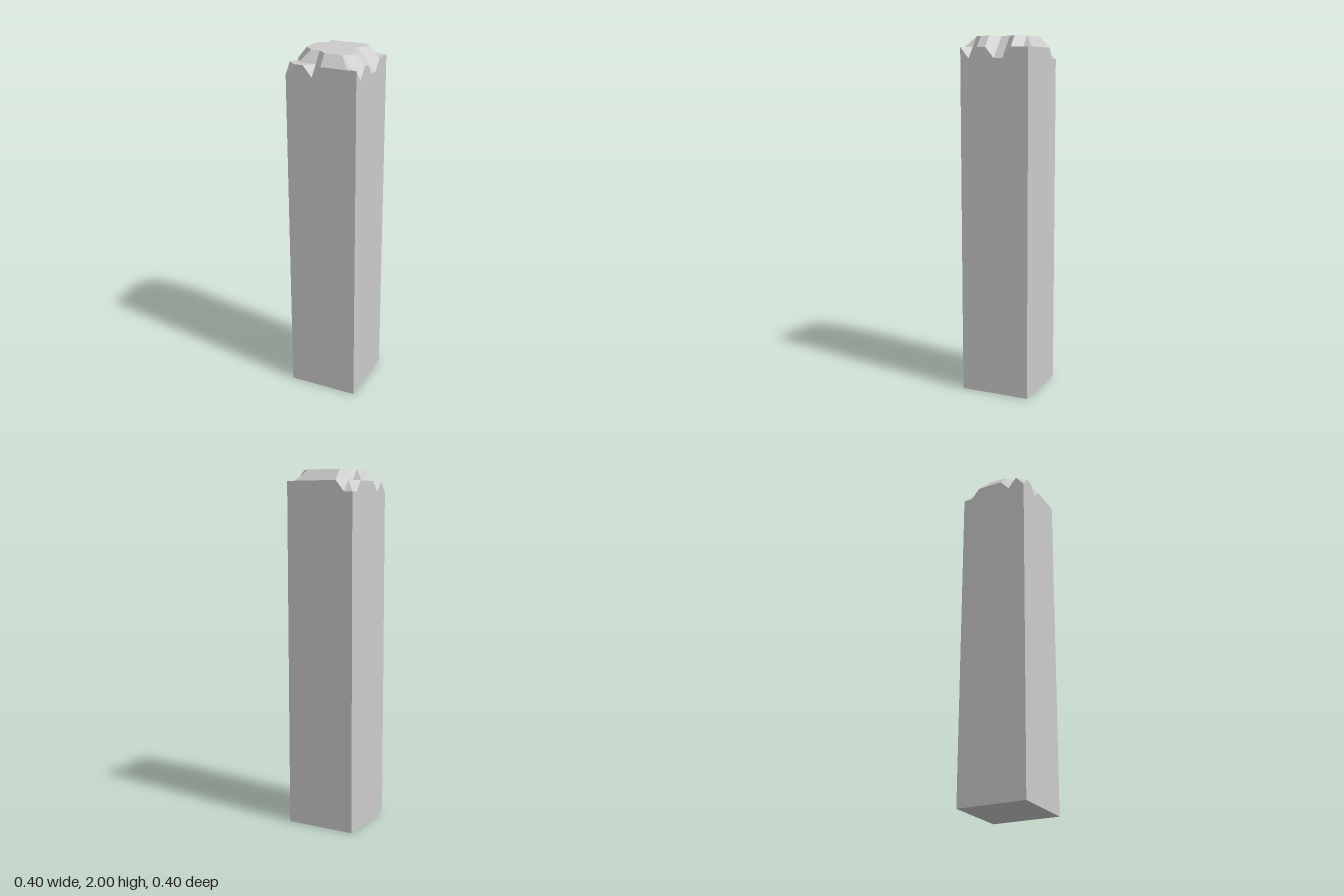
import * as THREE from 'three';

// Height steps of the chipped top: rows run back to front, columns -x to +x
const STEPS = [
  '001111111',
  '012222211',
  '112222221',
  '122222210',
  '122222210',
  '122222221',
  '012222221',
  '111122210',
  '011011111',
];
const N = 8, CELL = 0.05, HALF = 0.2, LOW = 1.88, STEP = 0.06;

const step = (i, j) => Number(STEPS[j][i]);
const top = (i, j) => [i * CELL - HALF, LOW + STEP * step(i, j), j * CELL - HALF];
const foot = (i, j) => [i * CELL - HALF, 0, j * CELL - HALF];

function flatMesh(name, triangles) {
  const geometry = new THREE.BufferGeometry();
  geometry.setAttribute('position', new THREE.Float32BufferAttribute(triangles.flat(2), 3));
  geometry.computeVertexNormals();
  const mesh = new THREE.Mesh(geometry, new THREE.MeshStandardMaterial({ color: 0xcccccc, flatShading: true }));
  mesh.name = name;
  return mesh;
}

// Broken stone top: each cell is split along its higher diagonal
function brokenTop() {
  const tris = [];
  for (let j = 0; j < N; j++) {
    for (let i = 0; i < N; i++) {
      const a = top(i, j), b = top(i + 1, j), c = top(i, j + 1), d = top(i + 1, j + 1);
      const outerChip = i === 7 && j === 1; // this chip breaks away along the other diagonal
      const main = step(i, j) + step(i + 1, j + 1) >= step(i + 1, j) + step(i, j + 1);
      if (main || outerChip) tris.push([a, c, d], [a, d, b]);
      else tris.push([a, c, b], [b, c, d]);
    }
  }
  return flatMesh('brokenTop', tris);
}

// Four walls that follow the chipped rim, plus the base
function shaft() {
  const rim = [];
  for (let k = 0; k < N; k++) rim.push([k, N]);
  for (let k = 0; k < N; k++) rim.push([N, N - k]);
  for (let k = 0; k < N; k++) rim.push([N - k, 0]);
  for (let k = 0; k < N; k++) rim.push([0, k]);
  const tris = [];
  rim.forEach((p, k) => {
    const q = rim[(k + 1) % rim.length];
    tris.push([foot(...p), foot(...q), top(...q)], [foot(...p), top(...q), top(...p)]);
  });
  tris.push([foot(0, 0), foot(N, 0), foot(N, N)], [foot(0, 0), foot(N, N), foot(0, N)]);
  return flatMesh('shaft', tris);
}

export function createModel() {
  const group = new THREE.Group();
  group.name = 'brokenPillar';
  group.add(shaft(), brokenTop());
  return group;
}
